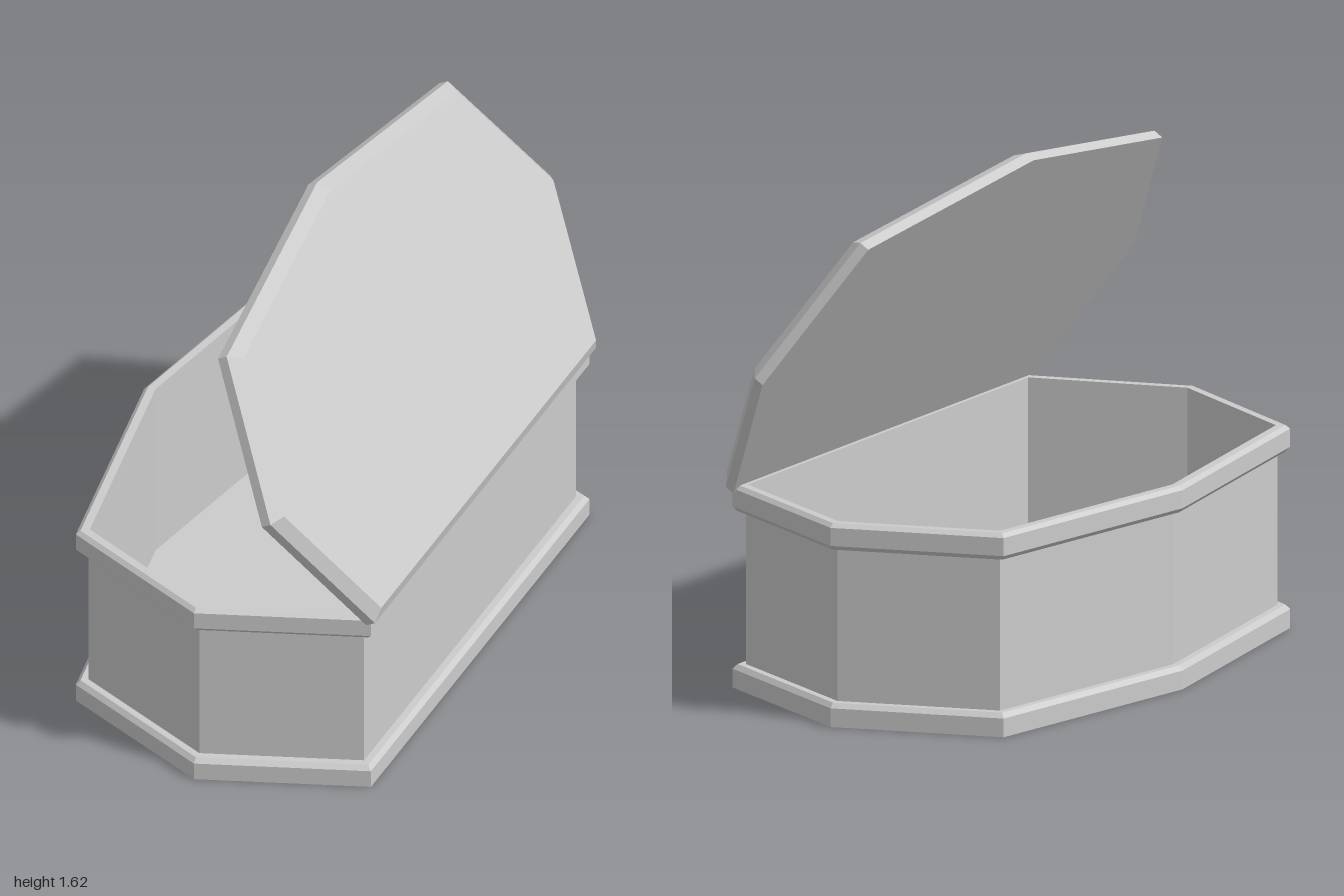
import * as THREE from 'three';

const material = new THREE.MeshStandardMaterial({ color: 0xcccccc, flatShading: true });

// Seven-sided outline from the half-points on +z; the point on z = 0 is the front tip
function outline(half, tipX) {
  const mirrored = half.map(([x, z]) => [x, -z]).reverse();
  return [...half, [tipX, 0], ...mirrored];
}

// Move every edge of a convex outline inwards by w, keeping the corners mitred
function inset(points, w) {
  const n = points.length;
  const normal = (a, b) => {
    const dx = b[0] - a[0], dz = b[1] - a[1], l = Math.hypot(dx, dz);
    return [dz / l, -dx / l];
  };
  return points.map((p, i) => {
    const m = normal(points[(i + n - 1) % n], p);
    const k = normal(p, points[(i + 1) % n]);
    const f = w / (1 + m[0] * k[0] + m[1] * k[1]);
    return [p[0] - f * (m[0] + k[0]), p[1] - f * (m[1] + k[1])];
  });
}

// Skin a list of [inset, height] rings, with optional flat caps on first and last ring
function ringMesh(name, points, profile, { startCap = false, endCap = false } = {}) {
  const rings = profile.map(([w, y]) => inset(points, w).map(([x, z]) => [x, y, z]));
  const n = points.length, pos = [];
  const tri = (a, b, c) => pos.push(...a, ...b, ...c);
  for (let r = 0; r < rings.length - 1; r++) {
    for (let i = 0; i < n; i++) {
      const j = (i + 1) % n;
      tri(rings[r][i], rings[r + 1][i], rings[r + 1][j]);
      tri(rings[r][i], rings[r + 1][j], rings[r][j]);
    }
  }
  const first = rings[0], last = rings[rings.length - 1];
  for (let i = 1; i < n - 1; i++) {
    if (startCap) tri(first[0], first[i], first[i + 1]);
    if (endCap) tri(last[0], last[i + 1], last[i]);
  }
  const geometry = new THREE.BufferGeometry();
  geometry.setAttribute('position', new THREE.Float32BufferAttribute(pos, 3));
  geometry.computeVertexNormals();
  const mesh = new THREE.Mesh(geometry, material);
  mesh.name = name;
  return mesh;
}

export function createModel() {
  const model = new THREE.Group();
  model.name = 'openBox';

  const box = outline([[0.56, 0.78], [0.05, 0.98], [-0.455, 0.77]], -0.59);
  const wall = 0.035, inner = 0.039, bevel = 0.013;

  // Base moulding with the underside
  model.add(ringMesh('baseTrim', box,
    [[0, 0], [0, 0.06], [bevel, 0.075], [wall, 0.075]], { startCap: true }));

  // Outer walls
  model.add(ringMesh('walls', box, [[wall, 0.075], [wall, 0.565]]));

  // Rim moulding
  model.add(ringMesh('rimTrim', box,
    [[wall, 0.565], [bevel, 0.565], [0, 0.58], [0, 0.638], [bevel, 0.65], [inner, 0.65]]));

  // Inner walls and floor
  model.add(ringMesh('interior', box, [[inner, 0.65], [inner, 0.03]], { endCap: true }));

  // Lid, built lying flat from its hinge edge, then swung open
  const lidShape = outline([[0, 0.79], [-0.506, 1.0], [-1.0, 0.79]], -1.137);
  const lid = ringMesh('lid', lidShape,
    [[0, 0], [0, 0.034], [0.035, 0.067]], { startCap: true, endCap: true });
  lid.position.set(0.549, 0.625, 0);
  lid.rotation.z = THREE.MathUtils.degToRad(-59.5);
  model.add(lid);

  return model;
}
